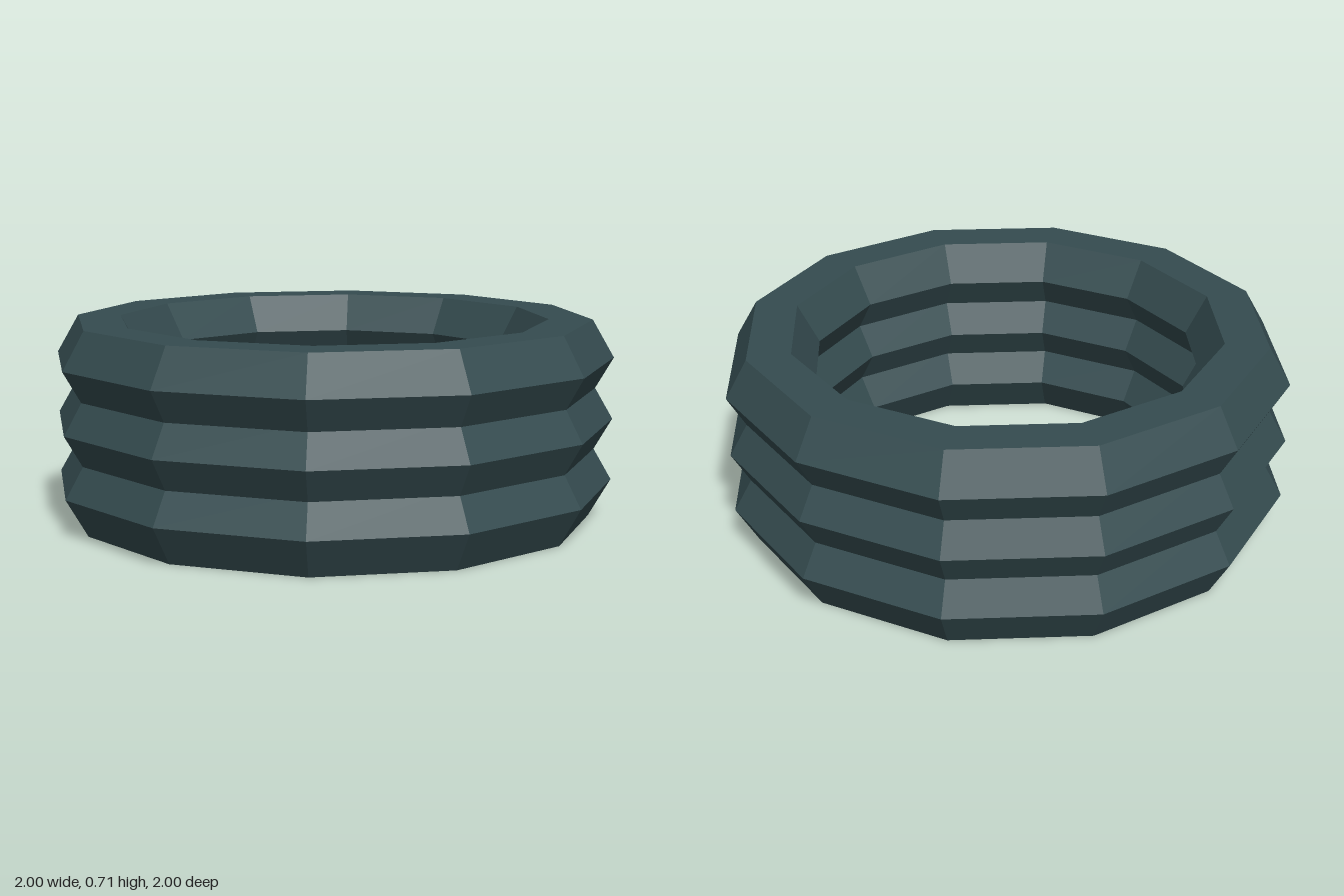
import * as THREE from 'three';

const RING_RADIUS = 0.845;
const TUBE_RADIUS = 0.155;
const SPACING = 0.22;
const HALF_HEIGHT = TUBE_RADIUS * Math.sin(Math.PI / 3);

export function createModel() {
  const model = new THREE.Group();
  model.name = 'ringStack';

  const material = new THREE.MeshStandardMaterial({ color: 0x354c50, flatShading: true });

  // Twelve-sided ring with a hexagonal section, laid flat
  const geometry = new THREE.TorusGeometry(RING_RADIUS, TUBE_RADIUS, 6, 12);
  geometry.rotateX(-Math.PI / 2);

  // Three overlapping rings, bottom to top
  ['lowerRing', 'middleRing', 'upperRing'].forEach((name, i) => {
    const ring = new THREE.Mesh(geometry, material);
    ring.name = name;
    ring.position.y = HALF_HEIGHT + i * SPACING;
    model.add(ring);
  });

  return model;
}
